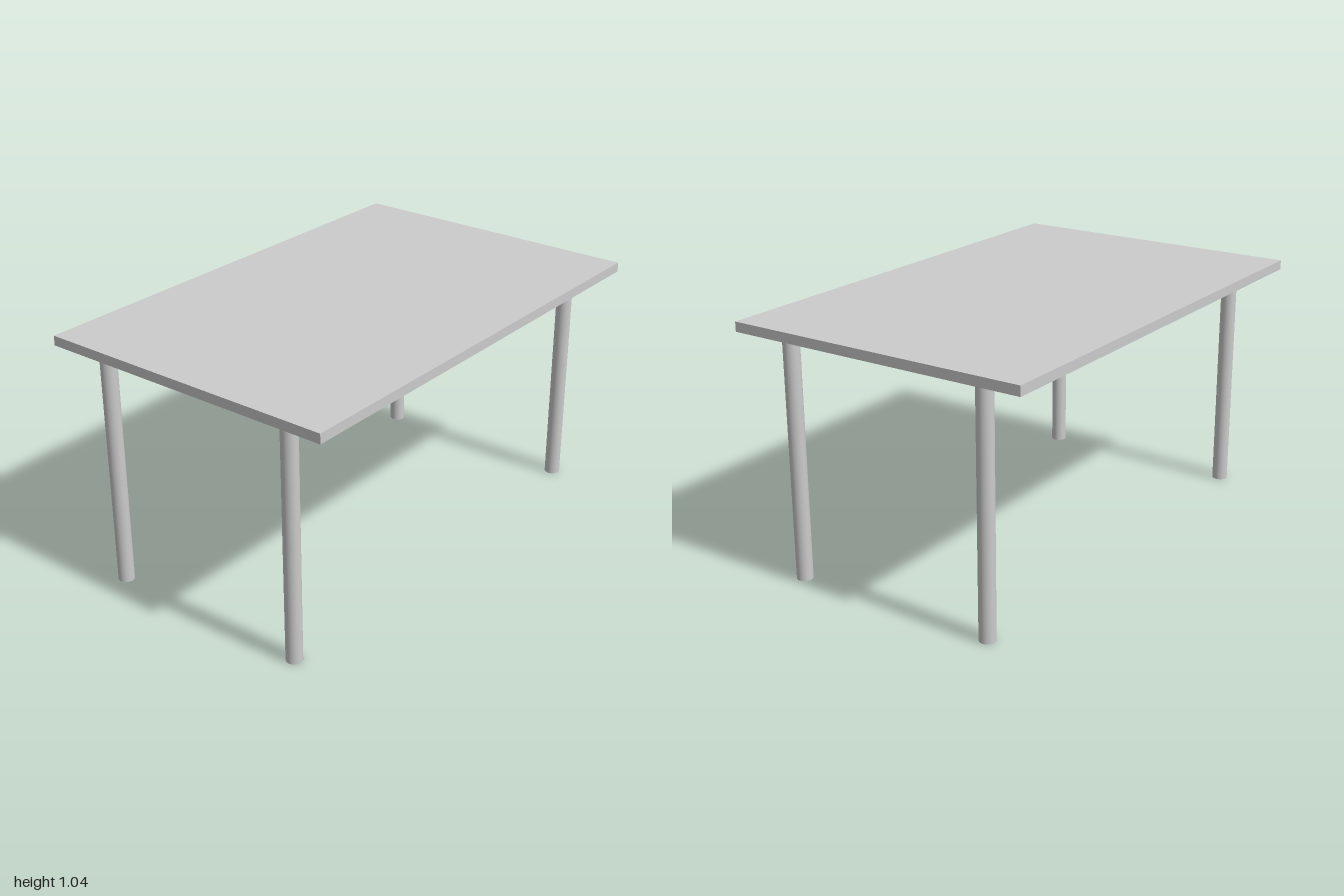
import * as THREE from 'three';

export function createModel() {
  const group = new THREE.Group();
  group.name = 'table';
  const legHeight = 1.0, topThickness = 0.04, legRadius = 0.033;

  // Flat rectangular top
  const top = new THREE.Mesh(
    new THREE.BoxGeometry(1.294, topThickness, 2),
    new THREE.MeshStandardMaterial({ color: 0xcccccc })
  );
  top.name = 'tableTop';
  top.position.y = legHeight + topThickness / 2;
  group.add(top);

  // Four round tubular legs, open at the ends
  const legGeometry = new THREE.CylinderGeometry(legRadius, legRadius, legHeight, 32, 1, true);
  const legMaterial = new THREE.MeshStandardMaterial({ color: 0xcccccc, side: THREE.DoubleSide });
  for (const [side, x] of [['Left', 0.444], ['Right', -0.444]]) {
    for (const [end, z] of [['front', 0.92], ['back', -0.92]]) {
      const leg = new THREE.Mesh(legGeometry, legMaterial);
      leg.name = `${end}${side}Leg`;
      leg.position.set(x, legHeight / 2, z);
      group.add(leg);
    }
  }
  return group;
}
